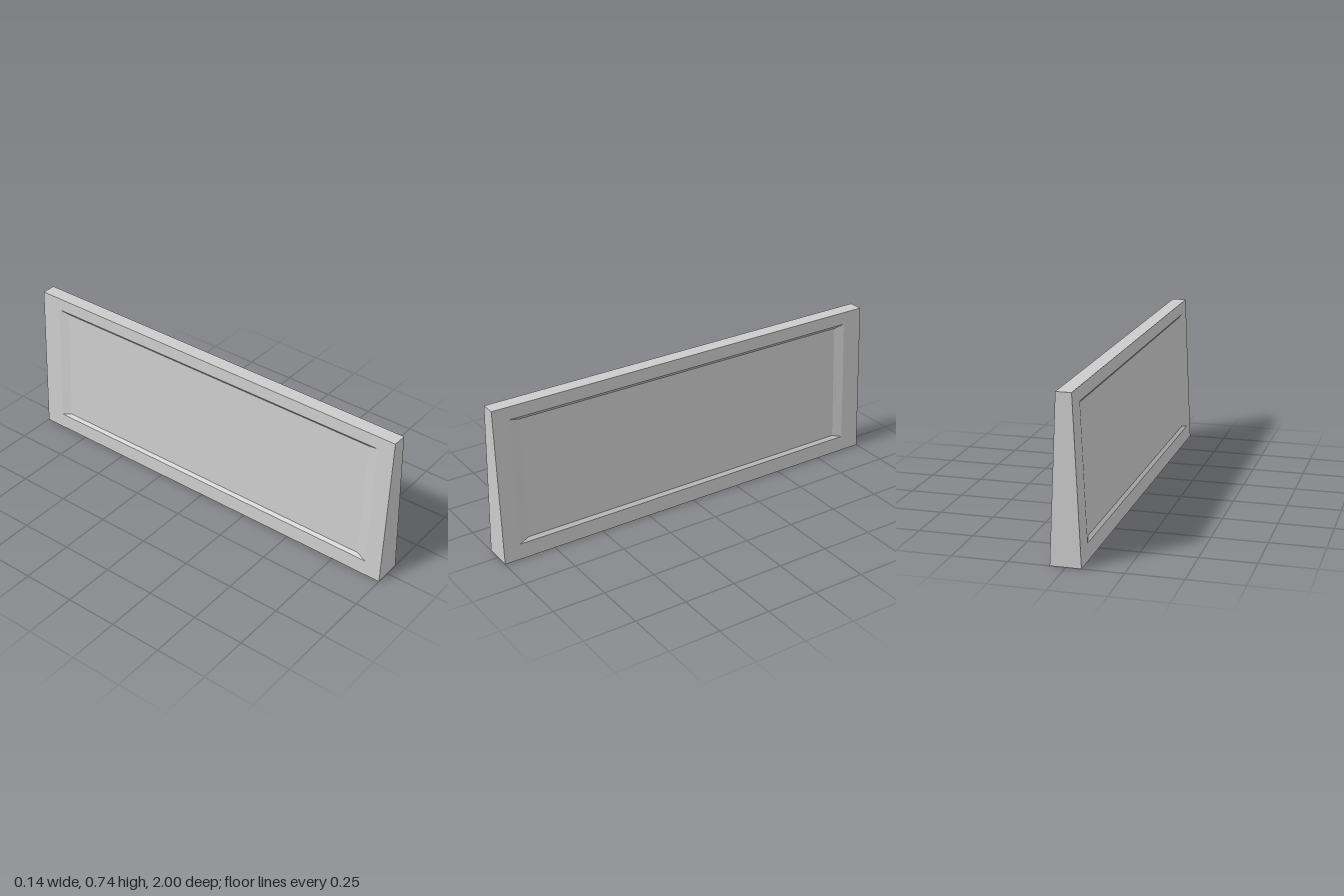
import * as THREE from 'three';

const H = 0.74, BASE = 0.068, TOP = 0.034;

// Point on the sloping side face, sunk inward by depth
const onFace = (side, y, z, depth = 0) =>
  [side * (BASE + (TOP - BASE) * y / H - depth), y, z];

// Rectangle on a side face, counter-clockwise as seen from outside +x
const ring = (side, y0, y1, zBack, zFront, depth) => [
  onFace(side, y0, zFront, depth), onFace(side, y0, zBack, depth),
  onFace(side, y1, zBack, depth), onFace(side, y1, zFront, depth),
];

function quadMesh(name, quads, material) {
  const positions = quads.flatMap(([a, b, c, d]) => [a, b, c, a, c, d].flat());
  const geometry = new THREE.BufferGeometry();
  geometry.setAttribute('position', new THREE.Float32BufferAttribute(positions, 3));
  geometry.computeVertexNormals();
  const mesh = new THREE.Mesh(geometry, material);
  mesh.name = name;
  return mesh;
}

export function createModel() {
  const material = new THREE.MeshStandardMaterial({ color: 0xcccccc, flatShading: true });
  const group = new THREE.Group();
  group.name = 'taperedPanelWall';

  // Side faces: flat border, bevelled step and recessed panel
  for (const side of [1, -1]) {
    const rings = [
      ring(side, 0, H, -1, 1, 0),
      ring(side, 0.075, 0.68, -0.9, 0.92, 0),
      ring(side, 0.09, 0.665, -0.85, 0.87, 0.012),
    ];
    const orient = (quad) => (side > 0 ? quad : [...quad].reverse());
    const band = (outer, inner) => outer.map((p, i) => {
      const j = (i + 1) % 4;
      return orient([p, outer[j], inner[j], inner[i]]);
    });
    const prefix = side > 0 ? 'left' : 'right';
    group.add(
      quadMesh(prefix + 'Border', band(rings[0], rings[1]), material),
      quadMesh(prefix + 'Bevel', band(rings[1], rings[2]), material),
      quadMesh(prefix + 'Panel', [orient(rings[2])], material),
    );
  }

  // Ends, top and underside closing the tapered slab
  const [a, b, c, d] = ring(1, 0, H, -1, 1, 0);
  const [e, f, g, h] = ring(-1, 0, H, -1, 1, 0);
  group.add(
    quadMesh('frontEnd', [[e, a, d, h]], material),
    quadMesh('backEnd', [[b, f, g, c]], material),
    quadMesh('top', [[h, d, c, g]], material),
    quadMesh('underside', [[f, b, a, e]], material),
  );
  return group;
}
